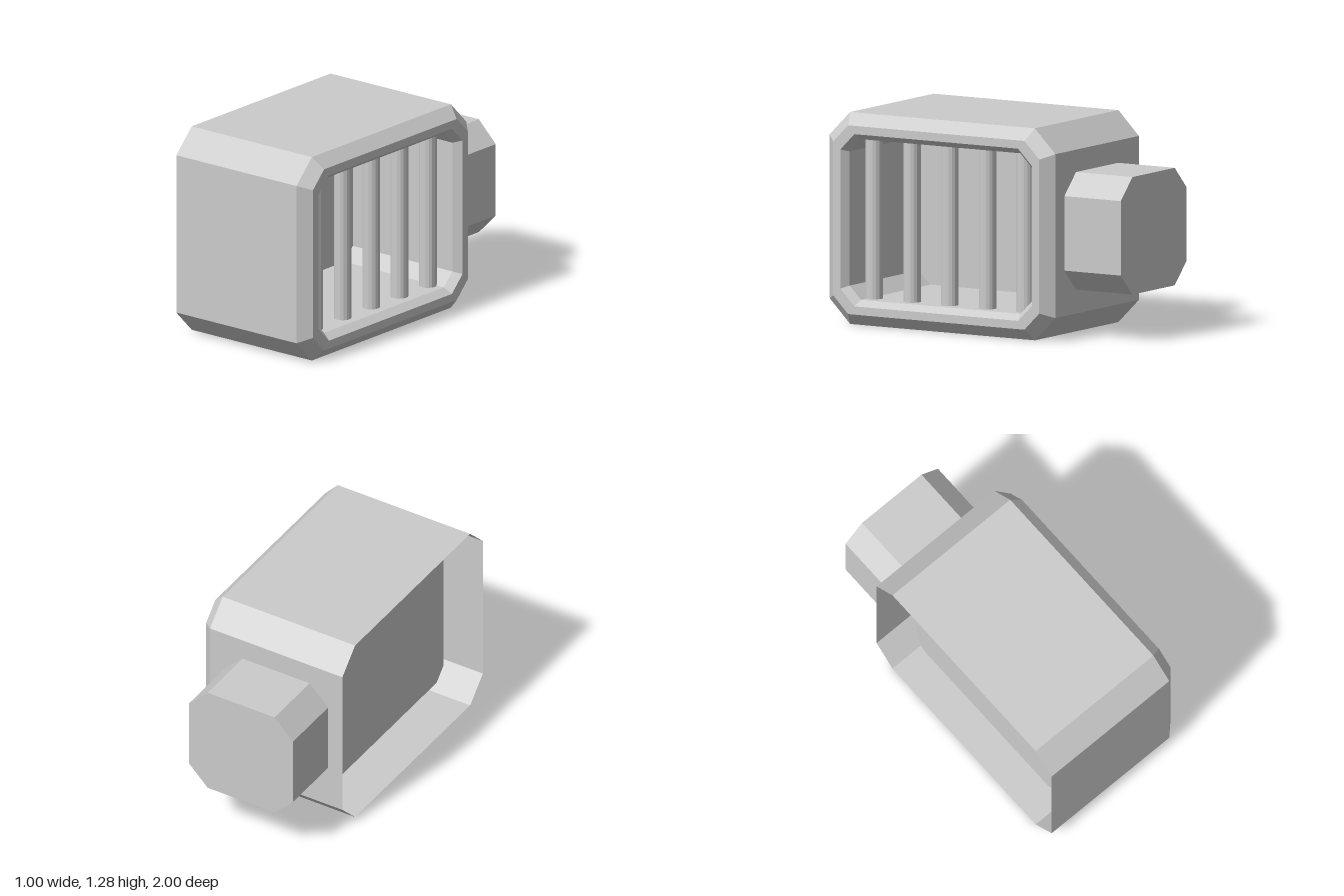
import * as THREE from 'three';

const HEIGHT = 1.28, BACK = -0.6, FRONT = 1;

// Chamfered rectangle at a given x, inset from the housing outline, counter-clockwise seen from +x
function ring([x, inset, c]) {
  const y0 = inset, y1 = HEIGHT - inset, z0 = BACK + inset, z1 = FRONT - inset;
  return [
    [x, y0, z1 - c], [x, y0, z0 + c], [x, y0 + c, z0], [x, y1 - c, z0],
    [x, y1, z0 + c], [x, y1, z1 - c], [x, y1 - c, z1], [x, y0 + c, z1],
  ];
}

// Skin through successive rings, optionally closing the last one
function loft(sections, capEnd = false) {
  const rings = sections.map(ring), pos = [];
  for (let r = 0; r + 1 < rings.length; r++) {
    const a = rings[r], b = rings[r + 1];
    for (let i = 0; i < 8; i++) {
      const j = (i + 1) % 8;
      pos.push(...a[i], ...a[j], ...b[j], ...a[i], ...b[j], ...b[i]);
    }
  }
  if (capEnd) {
    const e = rings[rings.length - 1];
    for (let i = 1; i < 7; i++) pos.push(...e[0], ...e[i], ...e[i + 1]);
  }
  const g = new THREE.BufferGeometry();
  g.setAttribute('position', new THREE.Float32BufferAttribute(pos, 3));
  g.computeVertexNormals();
  return g;
}

export function createModel() {
  const model = new THREE.Group();
  model.name = 'barredHousing';
  const sheet = new THREE.MeshStandardMaterial({ color: 0xcccccc, flatShading: true, side: THREE.DoubleSide });
  const solid = new THREE.MeshStandardMaterial({ color: 0xcccccc, flatShading: true });

  const add = (name, geometry, material, parent = model) => {
    const mesh = new THREE.Mesh(geometry, material);
    mesh.name = name;
    parent.add(mesh);
    return mesh;
  };

  // Outer sleeve, open on the -x side
  add('housing', loft([[-0.5, 0, 0.145], [0.43, 0, 0.145]]), sheet);

  // Bevelled frame around the window
  add('windowFrame', loft([
    [0.43, 0, 0.145], [0.5, 0.07, 0.105], [0.5, 0.12, 0.1], [0.45, 0.155, 0.08],
  ]), sheet);

  // Recess behind the frame, closed by its back panel
  add('recess', loft([[0.45, 0.155, 0.08], [-0.32, 0.155, 0.08]], true), sheet);

  // Row of upright bars across the window
  const bars = new THREE.Group();
  bars.name = 'bars';
  model.add(bars);
  const barGeometry = new THREE.CylinderGeometry(0.053, 0.053, HEIGHT - 0.31, 16);
  for (let i = 0; i < 5; i++) {
    add('bar', barGeometry, solid, bars).position.set(0.35, HEIGHT / 2, 0.735 - i * 0.268);
  }

  // Chamfered block on the back
  const [x0, x1, y0, y1, c] = [-0.4, 0.33, 0.29, 1.0, 0.13];
  const outline = new THREE.Shape([
    [x0 + c, y0], [x1 - c, y0], [x1, y0 + c], [x1, y1 - c],
    [x1 - c, y1], [x0 + c, y1], [x0, y1 - c], [x0, y0 + c],
  ].map(([x, y]) => new THREE.Vector2(x, y)));
  const block = new THREE.ExtrudeGeometry(outline, { depth: 0.4, bevelEnabled: false });
  add('rearBlock', block, solid).position.z = -1;

  return model;
}
